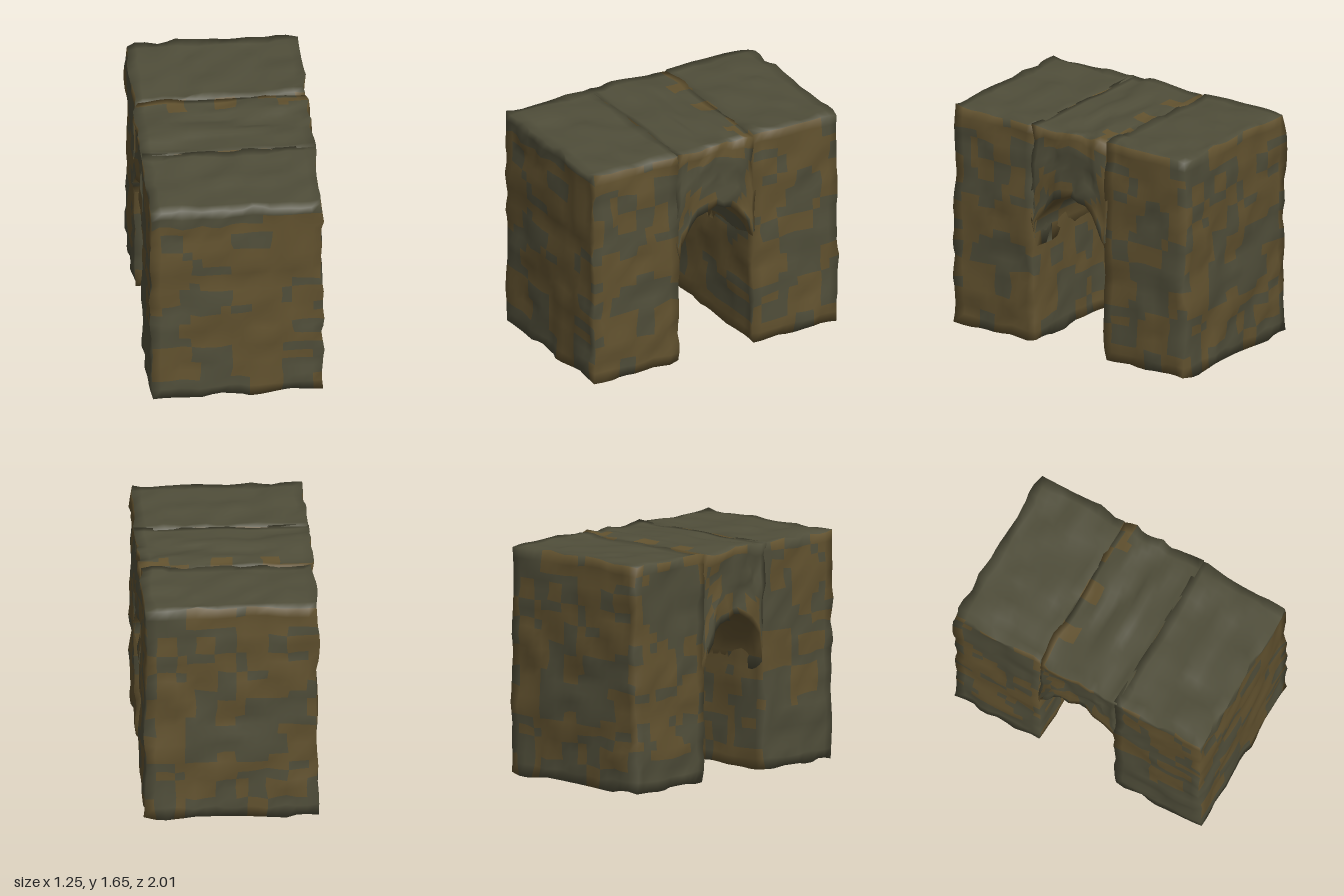
import * as THREE from 'three';
import { mergeVertices } from 'three/addons/utils/BufferGeometryUtils.js';

const HALF_WIDTH = 0.603, TOP = 1.628, BOTTOM = 0.014;
const SPAN = 0.302, SPRING = 0.72, RISE = 0.43;

// Two stone tones, laid out in blocky patches
const stones = [0x62522f, 0x504e3a].map(color =>
  new THREE.MeshStandardMaterial({ color, roughness: 1 }));

// Repeatable value in 0..1 for a lattice cell
function hash(x, y, z) {
  const s = Math.sin(x * 127.1 + y * 311.7 + z * 74.7 + 13.3) * 43758.5453;
  return s - Math.floor(s);
}

// Smooth-interpolated lattice noise in -1..1
function noise(x, y, z) {
  const ix = Math.floor(x), iy = Math.floor(y), iz = Math.floor(z);
  const ease = t => t * t * (3 - 2 * t);
  const mix = THREE.MathUtils.lerp;
  const u = ease(x - ix), v = ease(y - iy), w = ease(z - iz);
  const row = (j, k) => mix(hash(ix, iy + j, iz + k), hash(ix + 1, iy + j, iz + k), u);
  return 2 * mix(mix(row(0, 0), row(1, 0), v), mix(row(0, 1), row(1, 1), v), w) - 1;
}

// Weather a surface, smooth it, and sort its quads into the two stone tones
function rock(name, box, amount, freq, seed) {
  box.deleteAttribute('normal');
  box.deleteAttribute('uv');
  const geo = mergeVertices(box, 1e-4);
  const pos = geo.attributes.position;
  const tones = [[], []];
  const p = new THREE.Vector3(), corner = new THREE.Vector3();
  const index = geo.index.array;
  for (let i = 0; i < index.length; i += 6) {
    p.set(0, 0, 0);
    for (let k = 0; k < 6; k++) p.add(corner.fromBufferAttribute(pos, index[i + k]));
    p.divideScalar(6);
    const large = hash(Math.floor(p.x / 0.29), Math.floor(p.y / 0.27 + 0.4), Math.floor(p.z / 0.28));
    const small = hash(Math.floor(p.x / 0.14), Math.floor(p.y / 0.13), Math.floor(p.z / 0.13) + 9);
    tones[large * 0.5 + small * 0.5 > 0.54 ? 1 : 0].push(...index.slice(i, i + 6));
  }
  for (let i = 0; i < pos.count; i++) {
    p.fromBufferAttribute(pos, i);
    const [a, b, c] = [p.x * freq[0] + seed, p.y * freq[1], p.z * freq[2]];
    pos.setXYZ(i,
      p.x + amount * noise(a, b, c),
      p.y + amount * noise(a + 31, b, c),
      p.z + amount * noise(a, b + 47, c));
  }
  geo.setIndex([...tones[0], ...tones[1]]);
  geo.addGroup(0, tones[0].length, 0);
  geo.addGroup(tones[0].length, tones[1].length, 1);
  geo.computeVertexNormals();
  const mesh = new THREE.Mesh(geo, stones);
  mesh.name = name;
  return mesh;
}

// Solid pier at one end of the arch
function pier(name, side) {
  const depth = 0.988 - SPAN;
  const box = new THREE.BoxGeometry(HALF_WIDTH * 2, TOP - BOTTOM, depth, 17, 23, 10);
  box.translate(0, (TOP + BOTTOM) / 2, side * (SPAN + depth / 2));
  return rock(name, box, 0.018, [8, 8, 8], side * 5 + 20);
}

// Bridge between the piers: a box whose underside follows a half ellipse
function archSpan() {
  const box = new THREE.BoxGeometry(HALF_WIDTH * 2, 1, 2, 17, 9, 14);
  const pos = box.attributes.position;
  for (let i = 0; i < pos.count; i++) {
    const angle = pos.getZ(i) * Math.PI / 2;
    const under = SPRING + RISE * Math.cos(angle);
    const t = pos.getY(i) + 0.5;
    // Columns fan from the ellipse below to even spacing above
    const z = THREE.MathUtils.lerp(Math.sin(angle), pos.getZ(i), t) * (SPAN + 0.008);
    pos.setY(i, THREE.MathUtils.lerp(under, TOP - 0.002, t));
    pos.setZ(i, z);
  }
  return rock('archSpan', box, 0.022, [5, 10, 13], 70);
}

export function createModel() {
  const model = new THREE.Group();
  model.name = 'stoneArch';
  model.add(pier('frontPier', 1), pier('backPier', -1), archSpan());
  return model;
}
